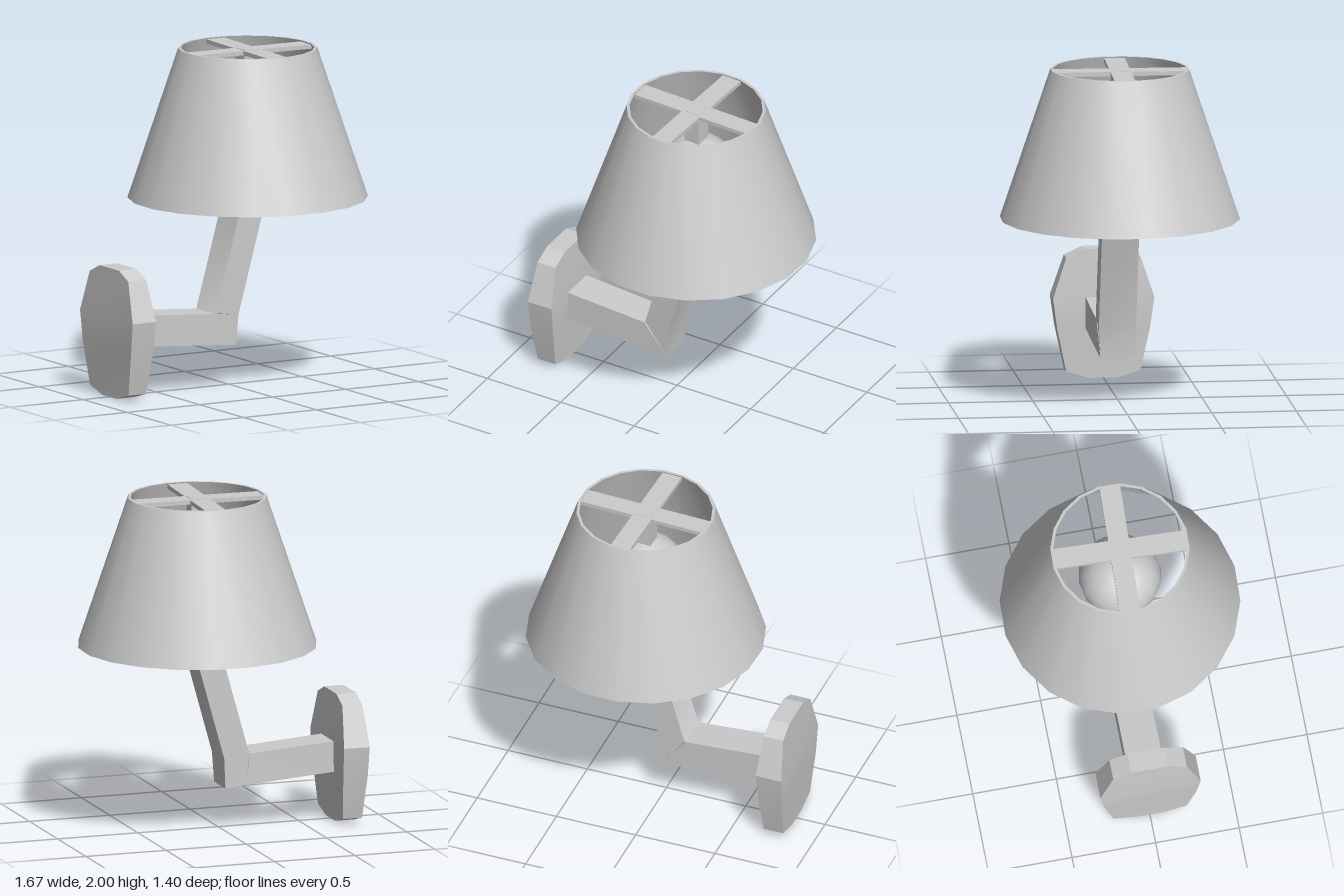
import * as THREE from 'three';
import { toCreasedNormals } from 'three/addons/utils/BufferGeometryUtils.js';

const material = new THREE.MeshStandardMaterial({ color: 0xcccccc });
const AXIS = 0.13; // x of the shade's axis

// Skin a run of four-cornered sections, capped at both ends
function loft(sections, crease) {
  const pos = [];
  const tri = (...points) => points.forEach((p) => pos.push(...p));
  for (let s = 0; s < sections.length - 1; s++) {
    for (let i = 0; i < 4; i++) {
      const j = (i + 1) % 4;
      const [a, b] = [sections[s][i], sections[s][j]];
      const [c, d] = [sections[s + 1][i], sections[s + 1][j]];
      tri(a, c, b);
      tri(b, c, d);
    }
  }
  const [p, q, r, t] = sections[0];
  tri(p, q, r);
  tri(p, r, t);
  const [e, f, g, h] = sections[sections.length - 1];
  tri(e, g, f);
  tri(e, h, g);
  const geometry = new THREE.BufferGeometry();
  geometry.setAttribute('position', new THREE.Float32BufferAttribute(pos, 3));
  return toCreasedNormals(geometry, crease);
}

export function createModel() {
  const lamp = new THREE.Group();
  lamp.name = 'wallLamp';
  const add = (name, geometry, x = 0, y = 0, z = 0, parent = lamp) => {
    const mesh = new THREE.Mesh(geometry, material);
    mesh.name = name;
    mesh.position.set(x, y, z);
    parent.add(mesh);
    return mesh;
  };

  // Wall plate: rows of height, half thickness, half width
  const plateRows = [
    [0, 0.06, 0.08], [0.04, 0.06, 0.22], [0.3, 0.076, 0.275],
    [0.48, 0.08, 0.3], [0.72, 0.062, 0.22], [0.77, 0.06, 0.11],
  ];
  add('wallPlate', loft(plateRows.map(([y, hx, hz]) =>
    [[-hx, y, -hz], [hx, y, -hz], [hx, y, hz], [-hx, y, hz]]), 0.1), -0.76);

  // Bent arm: inner edge x, y, outer edge x, y, half width
  const armRows = [
    [-0.72, 0.49, -0.72, 0.305, 0.108],
    [-0.16, 0.45, -0.14, 0.262, 0.105],
    [-0.158, 0.452, -0.01, 0.25, 0.1],
    [-0.155, 0.455, 0, 0.43, 0.11],
    [0.06, 1.22, 0.22, 1.22, 0.11],
  ];
  add('arm', loft(armRows.map(([ix, iy, ox, oy, w]) =>
    [[ix, iy, w], [ix, iy, -w], [ox, oy, -w], [ox, oy, w]]), 0.8));

  // Socket and bulb
  add('socket', toCreasedNormals(new THREE.CylinderGeometry(0.14, 0.14, 0.24, 16), 0.6), AXIS, 1.3);
  add('bulb', new THREE.SphereGeometry(0.245, 16, 12), AXIS, 1.55);

  // Hollow conical shade with a thin wall
  const wall = [[0.708, 1.11], [0.41, 2], [0.393, 2], [0.69, 1.11], [0.708, 1.11]]
    .map(([r, y]) => new THREE.Vector2(r, y));
  add('shade', toCreasedNormals(new THREE.LatheGeometry(wall, 20, 0.127), 0.6), AXIS);

  // Crossed bars carrying the shade on a central post
  const holder = new THREE.Group();
  holder.name = 'shadeHolder';
  holder.position.x = AXIS;
  holder.rotation.y = -0.035;
  lamp.add(holder);
  for (const turn of [0, Math.PI / 2]) {
    add('crossBar', new THREE.BoxGeometry(0.8, 0.025, 0.122), 0, 1.98, 0, holder).rotation.y = turn;
  }
  add('post', new THREE.BoxGeometry(0.1, 0.26, 0.1), 0, 1.865, 0, holder);

  return lamp;
}
